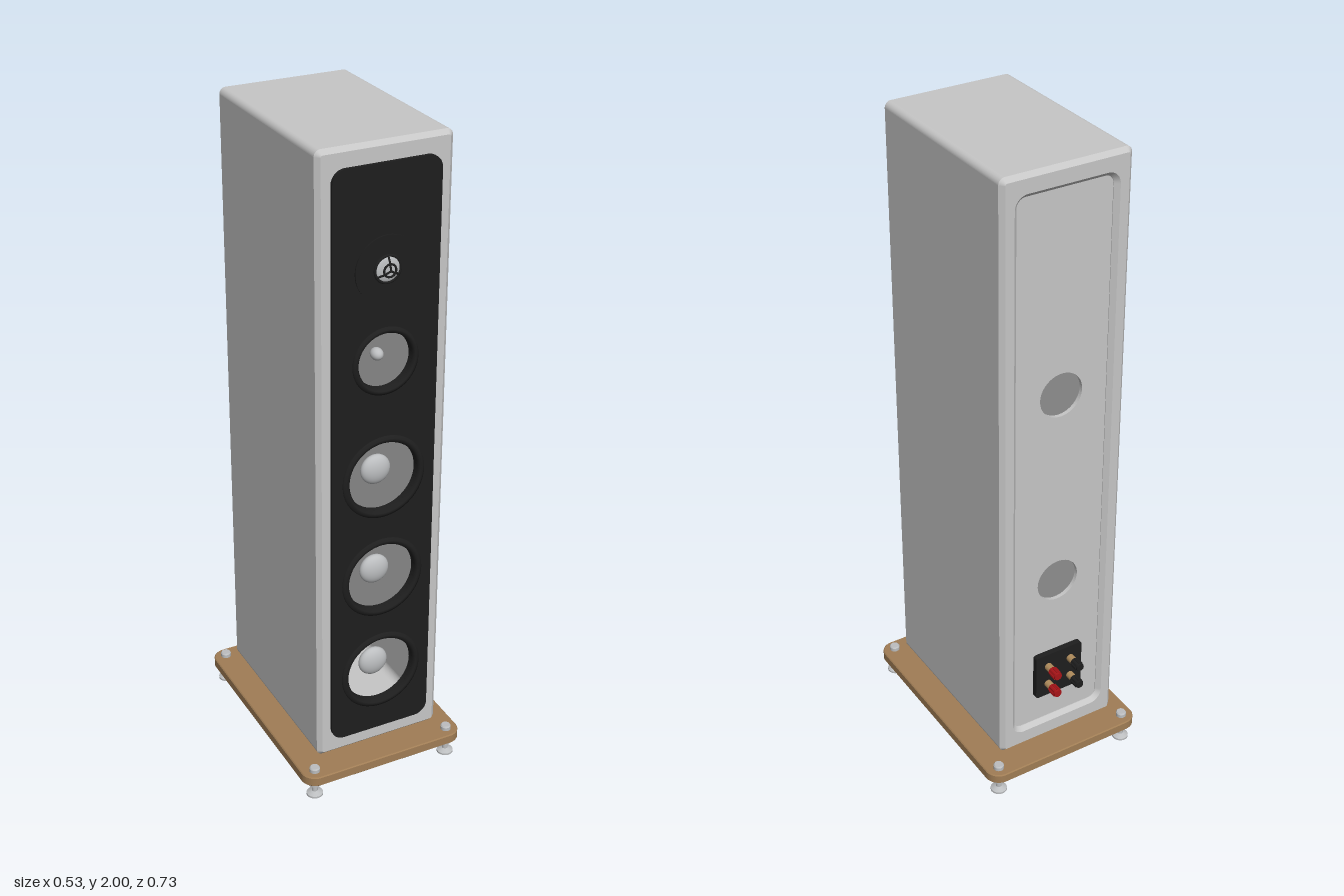
import * as THREE from 'three';

const mat = (name, color, side = THREE.FrontSide) => {
  const m = new THREE.MeshStandardMaterial({ color, side });
  m.name = name;
  return m;
};

// Rounded rectangle outline, traced as a shape or as a hole
function roundRect(x0, y0, x1, y1, r, Type = THREE.Shape) {
  const s = new Type();
  s.moveTo(x0 + r, y0);
  s.lineTo(x1 - r, y0);
  s.absarc(x1 - r, y0 + r, r, -Math.PI / 2, 0);
  s.lineTo(x1, y1 - r);
  s.absarc(x1 - r, y1 - r, r, 0, Math.PI / 2);
  s.lineTo(x0 + r, y1);
  s.absarc(x0 + r, y1 - r, r, Math.PI / 2, Math.PI);
  s.lineTo(x0, y0 + r);
  s.absarc(x0 + r, y0 + r, r, Math.PI, Math.PI * 1.5);
  return s;
}

function circleHole(y, r) {
  const p = new THREE.Path();
  p.absarc(0, y, r, 0, Math.PI * 2, true);
  return p;
}

export function createModel() {
  const group = new THREE.Group();
  const white = mat('cabinet grey', 0xc6c6c6);
  const black = mat('matt black', 0x1e1e1e);
  const silver = mat('silver', 0xbcbec0);
  const wood = mat('wood', 0xa07d55);
  const red = mat('red plastic', 0xa81418);
  const brass = mat('brass', 0xb08c5c);

  const add = (name, geo, m, x = 0, y = 0, z = 0, parent = group) => {
    const mesh = new THREE.Mesh(geo, m);
    mesh.name = name;
    mesh.position.set(x, y, z);
    parent.add(mesh);
    return mesh;
  };
  const slab = (shape, depth) =>
    new THREE.ExtrudeGeometry(shape, { depth, bevelEnabled: false, curveSegments: 32 });
  // Cylinder lying along z
  const rod = (r0, r1, len, n = 24) => new THREE.CylinderGeometry(r0, r1, len, n).rotateX(Math.PI / 2);

  // Hollow cabinet with chamfered front and back edges
  const shell = roundRect(-0.187, 0.123, 0.187, 1.987, 0.006);
  shell.holes.push(roundRect(-0.16, 0.165, 0.16, 1.945, 0.04, THREE.Path));
  add('cabinet', new THREE.ExtrudeGeometry(shell, {
    depth: 0.584, bevelThickness: 0.013, bevelSize: 0.013, bevelSegments: 1, curveSegments: 10,
  }), white, 0, 0, -0.292);

  // Drivers: height, opening radius, outer radius, dome radius
  const drivers = [
    ['midrange', 1.387, 0.082, 0.1, 0.018],
    ['upperWoofer', 1.03, 0.107, 0.128, 0.046],
    ['middleWoofer', 0.7, 0.107, 0.128, 0.046],
    ['lowerWoofer', 0.375, 0.107, 0.128, 0.046],
  ];

  // Front baffle with driver openings
  const baffle = roundRect(-0.16, 0.165, 0.16, 1.945, 0.04);
  drivers.forEach(([, y, r]) => baffle.holes.push(circleHole(y, r)));
  add('baffle', slab(baffle, 0.018), black, 0, 0, 0.297);

  for (const [name, y, r, outer, dome] of drivers) {
    const driver = new THREE.Group();
    driver.name = name;
    driver.position.set(0, y, 0);
    group.add(driver);
    const w = outer - r;
    const profile = [[r, 0.295], [r, 0.316], [r + w * 0.3, 0.323], [r + w * 0.65, 0.323],
      [r + w * 0.85, 0.318], [outer, 0.318], [outer, 0.313]]
      .reverse().map(([a, b]) => new THREE.Vector2(a, b));
    add('surround', new THREE.LatheGeometry(profile, 48).rotateX(Math.PI / 2), black, 0, 0, 0, driver);
    const cap = add('dustCap', new THREE.SphereGeometry(dome, 28, 16), silver, 0, 0, 0.265, driver);
    cap.scale.z = dome < 0.03 ? 1.2 : 0.5;
  }

  // Tweeter with faceplate, dome and protective guard
  const tweeter = new THREE.Group();
  tweeter.name = 'tweeter';
  tweeter.position.set(0, 1.655, 0);
  group.add(tweeter);
  add('faceplate', rod(0.095, 0.095, 0.006, 48), black, 0, 0, 0.316, tweeter);
  add('dome', new THREE.SphereGeometry(0.036, 28, 14), silver, 0, 0, 0.319, tweeter).scale.z = 0.2;
  add('guardRim', new THREE.TorusGeometry(0.038, 0.004, 8, 32), black, 0, 0, 0.32, tweeter);
  add('guardRing', new THREE.TorusGeometry(0.018, 0.003, 8, 24), black, 0, 0, 0.333, tweeter);
  for (let i = 0; i < 3; i++) {
    const a = Math.PI / 2 + (i * Math.PI * 2) / 3;
    const path = new THREE.CatmullRomCurve3([[0.038, 0.321], [0.018, 0.333], [0, 0.337]]
      .map(([r, z]) => new THREE.Vector3(r * Math.cos(a), r * Math.sin(a), z)));
    add('guardSpoke', new THREE.TubeGeometry(path, 8, 0.003, 6), black, 0, 0, 0, tweeter);
  }

  // Recessed back panel with two port openings
  const ports = [1.315, 0.685];
  const back = roundRect(-0.155, 0.17, 0.155, 1.94, 0.04);
  ports.forEach((y) => back.holes.push(circleHole(y, 0.068)));
  add('backPanel', slab(back, 0.012), white, 0, 0, -0.29);
  ports.forEach((y) => add('portScreen', new THREE.CircleGeometry(0.068, 40), black, 0, y, -0.279));

  // Terminal plate with four binding posts
  add('terminalPlate', slab(roundRect(-0.08, -0.077, 0.08, 0.077, 0.008), 0.018), black, 0, 0.355, -0.308);
  for (const x of [-0.039, 0.039]) {
    for (const y of [0.322, 0.388]) {
      const post = new THREE.Group();
      post.name = 'bindingPost';
      post.position.set(x, y, 0);
      group.add(post);
      const m = x > 0 ? red : black;
      add('postShaft', rod(0.012, 0.012, 0.026), brass, 0, 0, -0.318, post);
      add('postKnob', rod(0.013, 0.012, 0.034), m, 0, 0, -0.348, post);
      for (let i = 0; i < 8; i++) {
        const a = (i * Math.PI) / 4;
        add('knobRib', rod(0.003, 0.003, 0.026, 6), m,
          0.0125 * Math.cos(a), 0.0125 * Math.sin(a), -0.346, post);
      }
    }
  }

  // Plinth: dark spacer and wooden base
  add('spacer', new THREE.BoxGeometry(0.33, 0.03, 0.52), black, 0, 0.098, 0);
  const base = new THREE.ExtrudeGeometry(roundRect(-0.262, -0.362, 0.262, 0.362, 0.042), {
    depth: 0.026, bevelThickness: 0.003, bevelSize: 0.003, bevelSegments: 1, curveSegments: 12,
  }).rotateX(-Math.PI / 2);
  add('basePlate', base, wood, 0, 0.057, 0);

  // Four adjustable feet
  const footProfile = [[0, 0], [0.025, 0], [0.025, 0.006], [0.009, 0.014], [0.009, 0.034],
    [0.017, 0.034], [0.017, 0.045], [0.008, 0.045], [0.008, 0.086], [0.016, 0.086],
    [0.016, 0.097], [0.013, 0.101], [0, 0.101]];
  for (const x of [-0.225, 0.225]) {
    for (const z of [-0.328, 0.328]) {
      const foot = new THREE.Group();
      foot.name = 'foot';
      foot.position.set(x, 0, z);
      group.add(foot);
      // One band per profile step keeps the edges crisp
      for (let i = 0; i < footProfile.length - 1; i++) {
        const pts = footProfile.slice(i, i + 2).map(([a, b]) => new THREE.Vector2(a, b));
        add('footBand', new THREE.LatheGeometry(pts, 24), silver, 0, 0, 0, foot);
      }
    }
  }
  return group;
}
